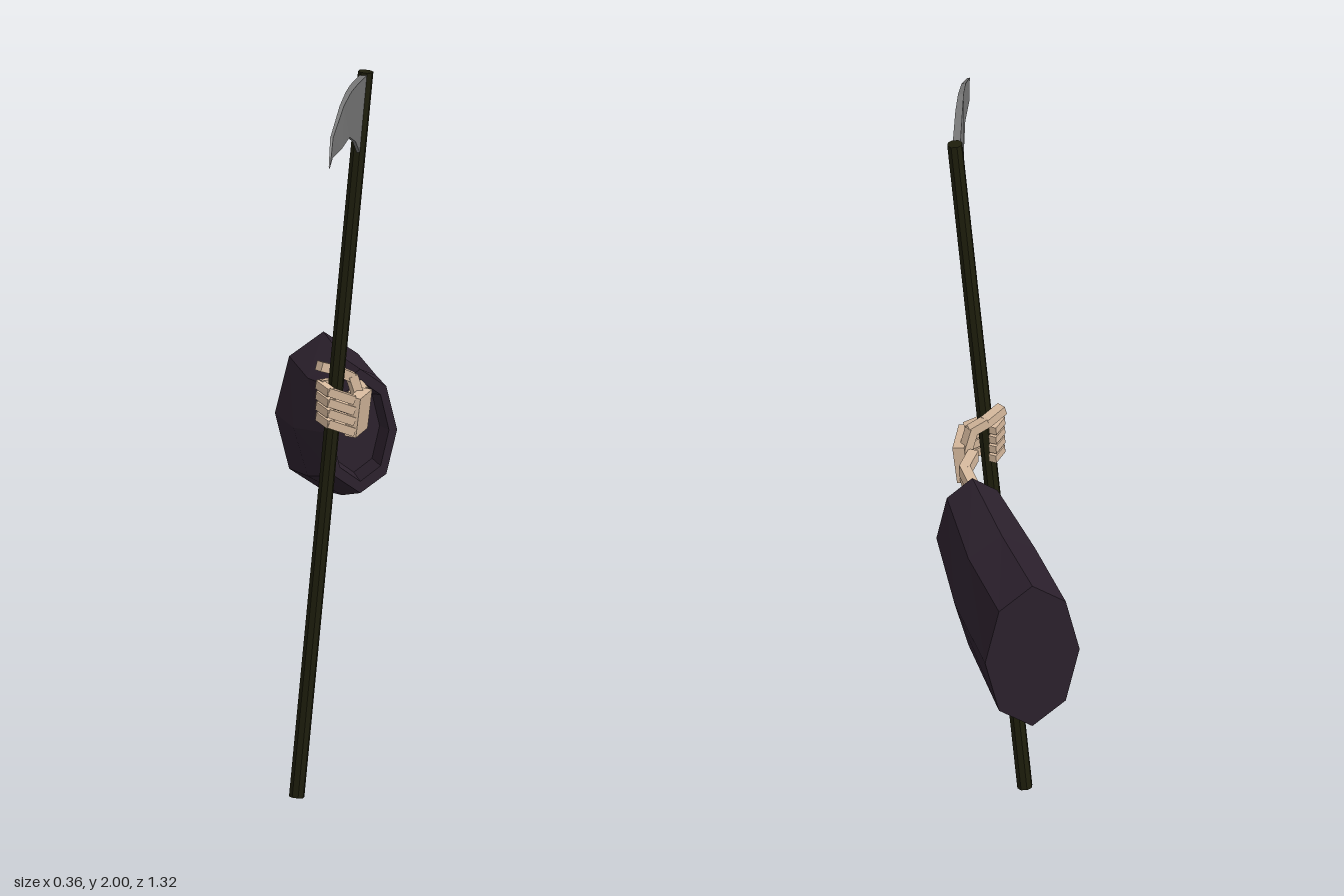
import * as THREE from 'three';

const mat = (name, color) => {
  const m = new THREE.MeshStandardMaterial({ color, flatShading: true });
  m.name = name;
  return m;
};
const v = (p) => new THREE.Vector3(...p);

// Skin a list of closed rings, ordered towards +z and counter-clockwise seen from +z
function loft(rings) {
  const pos = [];
  const n = rings[0].length;
  for (let i = 0; i < rings.length - 1; i++) {
    for (let j = 0; j < n; j++) {
      const k = (j + 1) % n;
      const [a, b, c, d] = [rings[i][j], rings[i][k], rings[i + 1][k], rings[i + 1][j]];
      pos.push(...a, ...b, ...c, ...a, ...c, ...d);
    }
  }
  const g = new THREE.BufferGeometry();
  g.setAttribute('position', new THREE.Float32BufferAttribute(pos, 3));
  g.computeVertexNormals();
  return g;
}

export function createModel() {
  const model = new THREE.Group();
  const bone = mat('bone', 0xd6b99d);
  const cloth = mat('dark cloth', 0x2b202c);
  const wood = mat('dark wood', 0x1e1e0c);
  const steel = mat('steel', 0x777777);

  const add = (parent, name, geometry, material) => {
    const m = new THREE.Mesh(geometry, material);
    m.name = name;
    parent.add(m);
    return m;
  };
  const group = (name) => {
    const g = new THREE.Group();
    g.name = name;
    model.add(g);
    return g;
  };
  // Chain of boxes along a path, w wide and h high
  const chain = (parent, name, points, w, h, overlap = 0.008) => {
    for (let i = 0; i < points.length - 1; i++) {
      const a = v(points[i]), b = v(points[i + 1]);
      const m = add(parent, name, new THREE.BoxGeometry(w, h, a.distanceTo(b) + overlap), bone);
      m.position.copy(a).lerp(b, 0.5);
      m.lookAt(b);
    }
  };

  // Leaning pole
  const foot = v([-0.16, 0.002, 0.11]), head = v([0.016, 1.998, 0.176]);
  const pole = add(model, 'pole', new THREE.CylinderGeometry(0.021, 0.021, foot.distanceTo(head), 8), wood);
  pole.position.copy(foot).lerp(head, 0.5);
  pole.quaternion.setFromUnitVectors(v([0, 1, 0]), head.clone().sub(foot).normalize());

  // Curved blade: stations of [top x, y, z], [bottom x, y, z], half thickness
  const stations = [
    [[0.012, 1.99, 0.175], [-0.004, 1.775, 0.18], 0.011],
    [[-0.045, 2.0, 0.34], [-0.034, 1.83, 0.28], 0.01],
    [[-0.074, 1.998, 0.42], [-0.065, 1.863, 0.37], 0.008],
    [[-0.106, 1.98, 0.5], [-0.108, 1.862, 0.5], 0.006],
    [[-0.155, 1.92, 0.62], [-0.15, 1.86, 0.6], 0.004],
    [[-0.168, 1.85, 0.66], [-0.168, 1.845, 0.66], 0.002],
  ];
  const bladeRings = stations.map(([t, b, h]) => [
    [t[0] + h, t[1], t[2]], [t[0] - h, t[1], t[2]],
    [b[0] - h * 0.4, b[1], b[2]], [b[0] + h * 0.4, b[1], b[2]],
  ]);
  const middle = (ring) => {
    const c = [0, 1, 2].map((i) => (ring[0][i] + ring[2][i]) / 2);
    return ring.map(() => c);
  };
  add(model, 'blade', loft([middle(bladeRings[0]), ...bladeRings, middle(bladeRings[5])]), steel);

  // Eight-sided sleeve, closed at the back, with a recessed opening
  const sleeveRings = [
    [-0.655, 0.048, 0.883, 0, 0],
    [-0.655, 0.048, 0.883, 0.132, 0.218],
    [-0.37, 0.048, 0.905, 0.132, 0.19],
    [-0.1, 0.05, 0.95, 0.1, 0.17],
    [-0.1, 0.05, 0.95, 0.078, 0.138],
    [-0.2, 0.05, 0.94, 0.07, 0.125],
    [-0.2, 0.05, 0.94, 0, 0],
  ].map(([z, x, y, rx, ry]) => Array.from({ length: 8 }, (_, i) => {
    const a = (i * Math.PI) / 4;
    return [x + rx * Math.cos(a), y + ry * Math.sin(a), z];
  }));
  add(model, 'sleeve', loft(sleeveRings), cloth);

  // Two forearm bones
  const forearm = group('forearm');
  chain(forearm, 'upperForearmBone', [[0.042, 1.068, -0.21], [0.038, 1.078, 0.01], [-0.005, 1.08, 0.075]], 0.028, 0.034);
  chain(forearm, 'lowerForearmBone', [[0.022, 1.015, -0.21], [0.03, 1.02, -0.03], [0.015, 1.025, 0.09]], 0.028, 0.034);

  // Palm, wrapped fingers and thumb
  const hand = group('hand');
  const palm = add(hand, 'palm', new THREE.BoxGeometry(0.032, 0.108, 0.125), bone);
  palm.position.set(0.003, 1.054, 0.135);
  palm.rotation.set(0, -0.43, -0.12);
  for (let i = 0; i < 4; i++) {
    const y = 1.015 + i * 0.029;
    chain(hand, 'finger', [
      [-0.02, y, 0.188],
      [-0.082, y + 0.022, 0.182],
      [-0.102, y + 0.034, 0.14],
      [-0.07, y + 0.03, 0.105],
    ], 0.022, 0.023);
  }
  chain(hand, 'thumb', [
    [0.01, 1.09, 0.095], [-0.008, 1.145, 0.1], [-0.05, 1.165, 0.1], [-0.098, 1.182, 0.122],
  ], 0.028, 0.026);

  return model;
}
